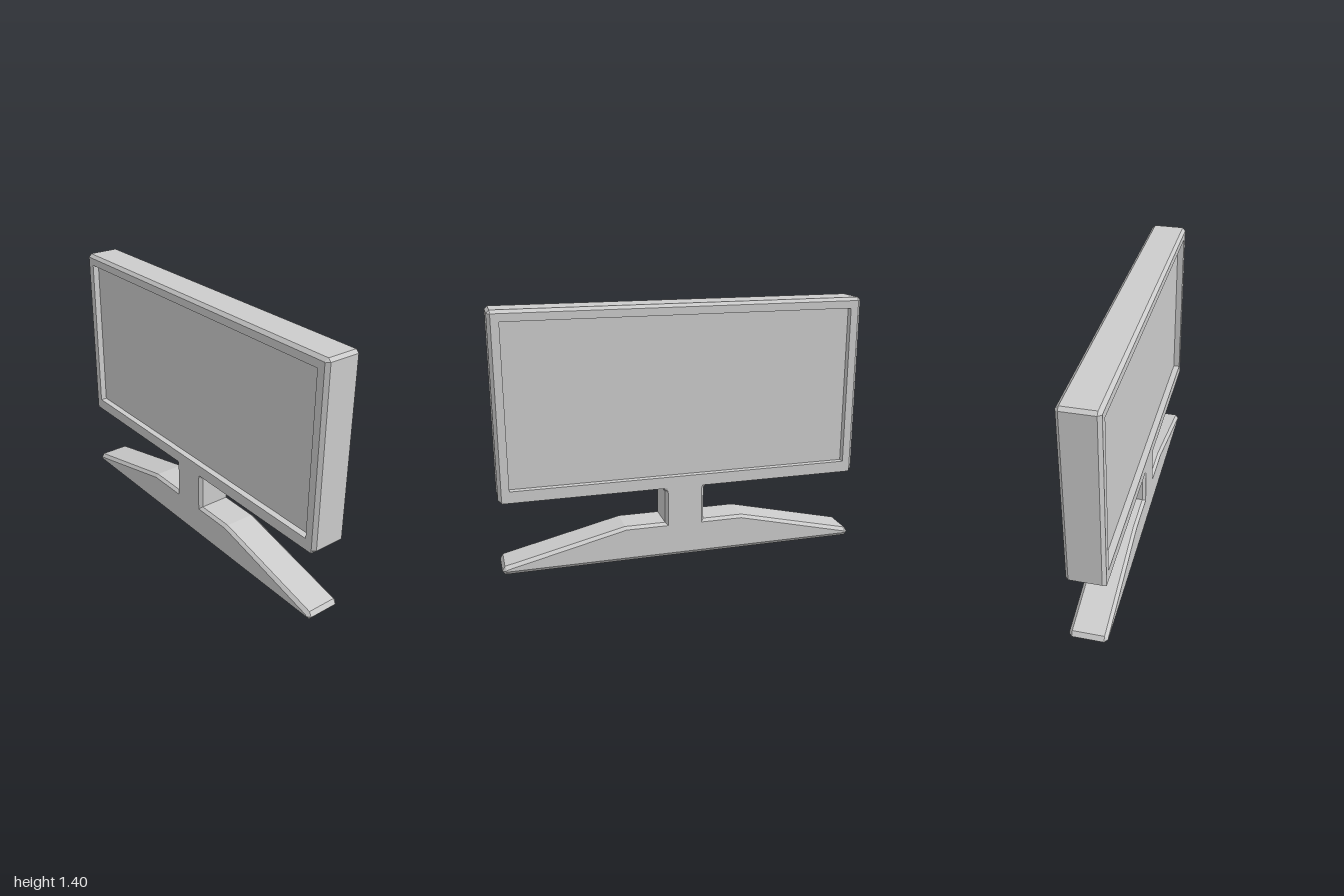
import * as THREE from 'three';

const material = new THREE.MeshStandardMaterial({ color: 0xcccccc, flatShading: true });
const FRONT = 0.1, RIM = 0.083, RECESS = 0.035;

// Right half of the silhouette, bottom to top: [outer x, y, inset x, y]
const half = [
  [0.985, 0, 0.975, 0.02],
  [1, 0.02, 0.982, 0.023],
  [0.985, 0.047, 0.975, 0.03],
  [0.335, 0.2, 0.33, 0.185],
  [0.11, 0.2, 0.095, 0.185],
  [0.11, 0.385, 0.095, 0.385],
  [0.13, 0.403, 0.1, 0.403],
  [0.984, 0.403, 0.98, 0.403],
  [1, 0.42, 0.982, 0.42],
  [1, 1.384, 0.982, 1.381],
  [0.984, 1.4, 0.98, 1.383],
];
const mirrored = half.map(([a, b, c, d]) => [-a, b, -c, d]).reverse();
const outline = [...half, ...mirrored];
const outer = outline.map(([x, y]) => [x, y]);
const inset = outline.map(([, , x, y]) => [x, y]);

// Screen opening, counter-clockwise
const opening = [[-0.94, 0.466], [0.94, 0.466], [0.94, 1.342], [-0.94, 1.342]];

// Joins closed loops of points placed at successive depths
function loft(loops) {
  const pos = [], index = [], n = loops[0].points.length;
  for (const { points, z } of loops) for (const [x, y] of points) pos.push(x, y, z);
  for (let k = 0; k < loops.length - 1; k++) {
    for (let i = 0; i < n; i++) {
      const a = k * n + i, b = k * n + (i + 1) % n;
      index.push(a, b, b + n, a, b + n, a + n);
    }
  }
  const g = new THREE.BufferGeometry();
  g.setAttribute('position', new THREE.Float32BufferAttribute(pos, 3));
  g.setIndex(index);
  const flat = g.toNonIndexed();
  flat.computeVertexNormals();
  return flat;
}

const toVectors = (pts) => pts.map(([x, y]) => new THREE.Vector2(x, y));

function add(parent, geometry, name) {
  const mesh = new THREE.Mesh(geometry, material);
  mesh.name = name;
  parent.add(mesh);
  return mesh;
}

// One large face: flat bezel and stand, recess walls and screen
function createFace(name) {
  const face = new THREE.Group();
  face.name = name;

  const shape = new THREE.Shape(toVectors(inset));
  shape.holes.push(new THREE.Path(toVectors(opening)));
  add(face, new THREE.ShapeGeometry(shape), 'bezelAndStandFace').position.z = FRONT;

  add(face, loft([
    { points: opening, z: FRONT },
    { points: opening, z: FRONT - RECESS },
  ]), 'recessWalls');

  add(face, new THREE.ShapeGeometry(new THREE.Shape(toVectors(opening))), 'screen')
    .position.z = FRONT - RECESS;
  return face;
}

export function createModel() {
  const model = new THREE.Group();
  model.name = 'monitor';

  // Chamfered rim running round the screen, neck and base
  add(model, loft([
    { points: inset, z: -FRONT },
    { points: outer, z: -RIM },
    { points: outer, z: RIM },
    { points: inset, z: FRONT },
  ]), 'chamferedRim');

  const back = createFace('backFace');
  back.rotation.y = Math.PI;
  model.add(createFace('frontFace'), back);
  return model;
}
